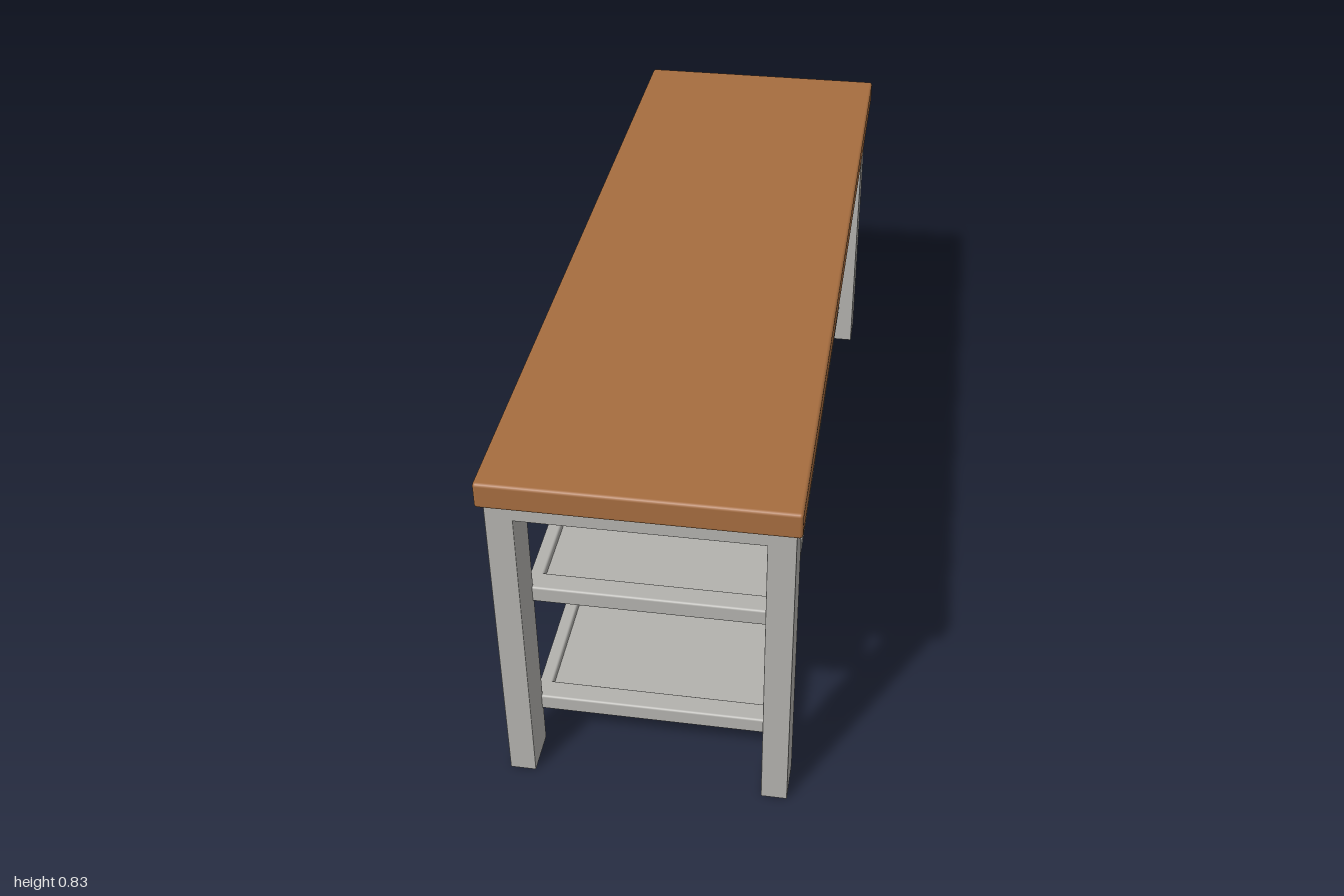
import * as THREE from 'three';
import { RoundedBoxGeometry } from 'three/addons/geometries/RoundedBoxGeometry.js';

export function createModel() {
  const bench = new THREE.Group();
  bench.name = 'bench';
  const wood = new THREE.MeshStandardMaterial({ color: 0xa66d3f });
  wood.name = 'brown wood';
  const metal = new THREE.MeshStandardMaterial({ color: 0xb3b2ae });
  metal.name = 'grey metal';

  // Rounded bar given by its size and centre
  function bar(parent, name, material, size, centre, radius) {
    const mesh = new THREE.Mesh(new RoundedBoxGeometry(...size, 2, radius), material);
    mesh.name = name;
    mesh.position.set(...centre);
    parent.add(mesh);
  }

  // Seat slab
  bar(bench, 'seat', wood, [0.65, 0.06, 2], [0, 0.8, 0], 0.007);

  // Legs and the apron frame beneath the seat
  for (const s of [-1, 1]) {
    for (const t of [-1, 1]) {
      bar(bench, 'leg', metal, [0.058, 0.769, 0.1], [s * 0.284, 0.3845, t * 0.93], 0.002);
    }
    bar(bench, 'sideApron', metal, [0.058, 0.041, 1.8], [s * 0.284, 0.7485, 0], 0.002);
    bar(bench, 'endApron', metal, [0.54, 0.041, 0.1], [0, 0.7485, s * 0.93], 0.002);
  }

  // Two tray shelves: a raised rim around a recessed panel
  for (const [name, y] of [['lowerShelf', 0.1225], ['upperShelf', 0.45]]) {
    const shelf = new THREE.Group();
    shelf.name = name;
    shelf.position.y = y;
    for (const s of [-1, 1]) {
      bar(shelf, 'sideRim', metal, [0.03, 0.04, 1.78], [s * 0.255, 0, 0], 0.005);
      bar(shelf, 'endRim', metal, [0.54, 0.04, 0.05], [0, 0, s * 0.865], 0.005);
    }
    const panel = new THREE.Mesh(new THREE.BoxGeometry(0.525, 0.022, 1.765), metal);
    panel.name = 'panel';
    panel.position.y = -0.009;
    shelf.add(panel);
    bench.add(shelf);
  }
  return bench;
}
